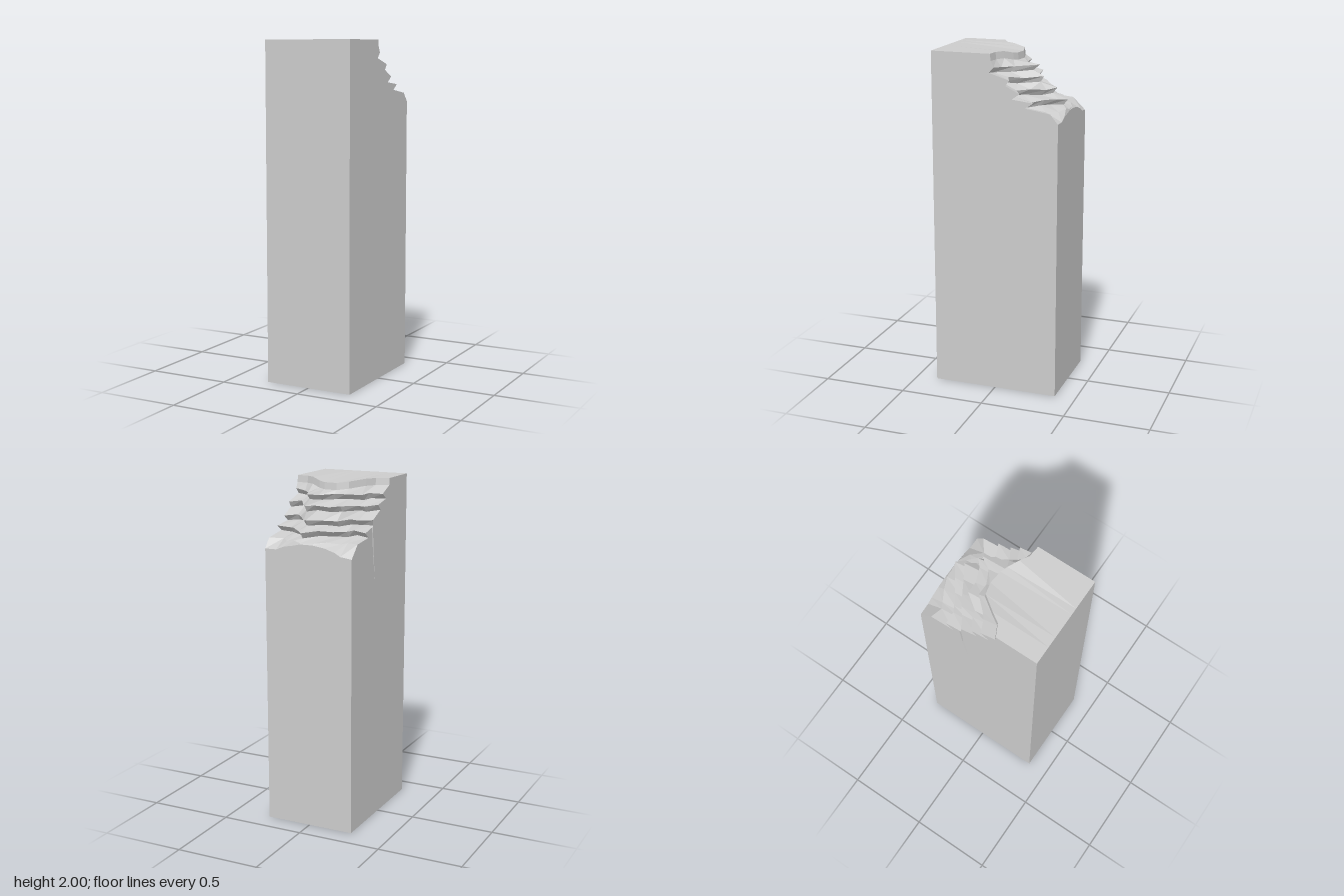
import * as THREE from 'three';

const HALF_DEPTH = 0.375;

// Column positions across the block
const xs = [-0.27, -0.2, -0.165, -0.1, -0.03, 0.05, 0.09, 0.15, 0.2, 0.27];
// Edge of the intact top, and the height of the broken back edge
const rimZ = [0.125, 0.09, 0.035, -0.055, -0.073, -0.065, -0.05, -0.015, 0.015, 0.022];
const rimY = [2, 2, 2, 1.99, 1.98, 1.98, 1.985, 2, 2, 2];
const backY = [1.61, 1.62, 1.64, 1.66, 1.67, 1.67, 1.66, 1.65, 1.63, 1.63];
// Stepped rock ledges: height of each lip and its line in plan
const ledges = [
  { y: 1.92, z: [0.03, 0, -0.03, -0.1, -0.1, -0.14, -0.21, -0.08, -0.02, 0] },
  { y: 1.86, z: [-0.03, -0.07, -0.08, -0.17, -0.17, -0.2, -0.235, -0.14, -0.06, -0.09] },
  { y: 1.79, z: [-0.1, -0.14, -0.17, -0.21, -0.25, -0.3, -0.25, -0.175, -0.11, -0.15] },
  { y: 1.735, z: [-0.2, -0.2, -0.22, -0.26, -0.31, -0.365, -0.32, -0.26, -0.2, -0.23] },
  { y: 1.68, z: [-0.3, -0.28, -0.3, -0.335, -0.365, -0.372, -0.365, -0.34, -0.28, -0.33] },
];

// Cross-section of one column as [z, y], from front bottom over the top to back bottom
function section(i) {
  const points = [[HALF_DEPTH, 0], [HALF_DEPTH, 2], [rimZ[i], rimY[i]]];
  ledges.forEach((ledge, k) => {
    const wobble = Math.sin(i * 2.3 + k * 1.7);
    const [pz, py] = points[points.length - 1];
    // undercut root below the lip above, then this ledge's lip
    if (k > 0) points.push([pz + 0.035 + 0.015 * wobble, py - 0.032]);
    else points.push([pz - 0.005, py - 0.04]);
    points.push([ledge.z[i], ledge.y + 0.006 * wobble]);
  });
  points.push([-HALF_DEPTH, backY[i]], [-HALF_DEPTH, 0]);
  return points;
}

function mesh(name, positions) {
  const geometry = new THREE.BufferGeometry();
  geometry.setAttribute('position', new THREE.Float32BufferAttribute(positions, 3));
  geometry.computeVertexNormals();
  const material = new THREE.MeshStandardMaterial({
    color: 0xcccccc, flatShading: true, side: THREE.DoubleSide,
  });
  const result = new THREE.Mesh(geometry, material);
  result.name = name;
  return result;
}

// Skin between neighbouring columns for a range of section rows
function skin(name, sections, from, to) {
  const out = [];
  for (let i = 0; i < xs.length - 1; i++) {
    for (let r = from; r < to; r++) {
      const p = (c, row) => [xs[c], sections[c][row][1], sections[c][row][0]];
      const a = p(i, r), b = p(i, r + 1), c = p(i + 1, r), d = p(i + 1, r + 1);
      out.push(...a, ...c, ...d, ...a, ...d, ...b);
    }
  }
  return mesh(name, out);
}

// Flat side wall filling one section outline
function sideWall(name, outline, x) {
  const contour = outline.map(([z, y]) => new THREE.Vector2(-z, y)).reverse();
  const out = [];
  for (const face of THREE.ShapeUtils.triangulateShape(contour, [])) {
    const order = x > 0 ? face : [...face].reverse();
    for (const v of order) out.push(x, contour[v].y, -contour[v].x);
  }
  return mesh(name, out);
}

export function createModel() {
  const group = new THREE.Group();
  group.name = 'brokenBlock';
  const sections = xs.map((_, i) => section(i));
  const last = sections[0].length - 1;

  group.add(skin('frontWall', sections, 0, 1));
  group.add(skin('topFace', sections, 1, 2));
  group.add(skin('brokenLedges', sections, 2, last - 1));
  group.add(skin('backWall', sections, last - 1, last));
  group.add(sideWall('leftWall', sections[xs.length - 1], xs[xs.length - 1]));

  // Narrow crack running down the right wall from the ledges
  const crack = [[-0.1, 1.75], [-0.088, 1.6], [-0.065, 1.42], [-0.097, 1.6], [-0.112, 1.748]];
  const root = 9;
  const outline = [...sections[0].slice(0, root), ...crack, ...sections[0].slice(root)];
  group.add(sideWall('rightWall', outline, xs[0]));

  const groove = [];
  for (let i = 0; i < crack.length - 1; i++) {
    const [a, b] = [crack[i], crack[i + 1]];
    groove.push(xs[0], a[1], a[0], xs[0], b[1], b[0], -0.22, 1.7, -0.1);
  }
  group.add(mesh('crack', groove));
  return group;
}
